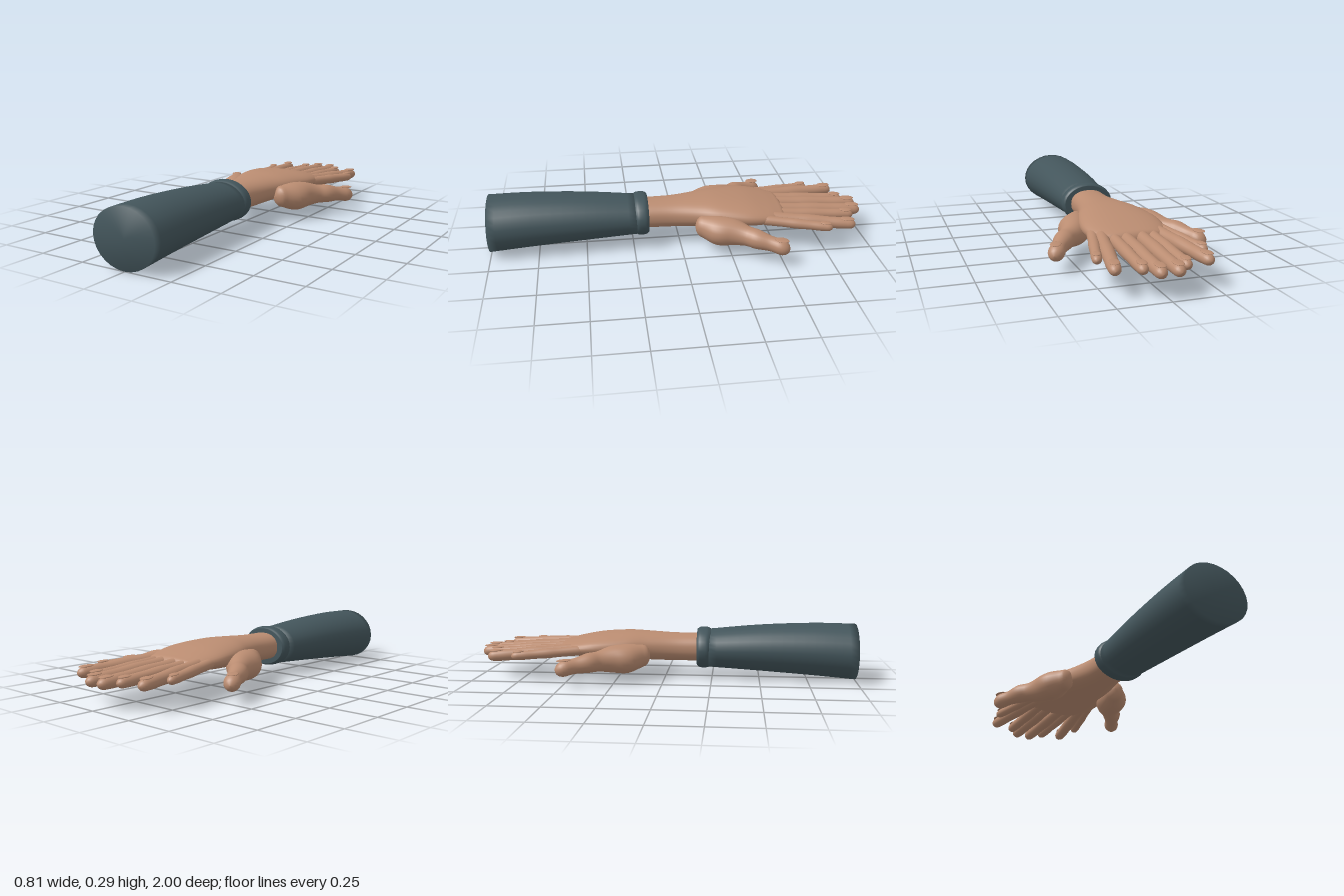
import * as THREE from 'three';

const skin = new THREE.MeshStandardMaterial({ color: 0xba8c71 });
skin.name = 'skin';
const cloth = new THREE.MeshStandardMaterial({ color: 0x43555b });
cloth.name = 'sleeve cloth';

// Smooth loft through sections [x, y, z, halfWidth, halfHeight]; ends close with domes of the given lengths
function loft(sections, { startDome = 0, endDome = 0, sides = 28, steps = 5, power = 2 } = {}) {
  const path = new THREE.CatmullRomCurve3(sections.map(s => new THREE.Vector3(s[0], s[1], s[2])), false, 'catmullrom');
  const size = new THREE.CatmullRomCurve3(sections.map(s => new THREE.Vector3(s[3], s[4], 0)), false, 'catmullrom');
  const up = new THREE.Vector3(0, 1, 0);
  const rows = [];
  const addRow = (t, shift, scale) => {
    const dir = path.getTangent(t);
    const side = new THREE.Vector3(dir.x, 0, dir.z).normalize().cross(up);
    const centre = path.getPoint(t).addScaledVector(dir, shift);
    rows.push({ centre, side, size: size.getPoint(t).multiplyScalar(scale) });
  };
  const dome = (t, length, sign) => {
    const n = length ? 5 : 1;
    const list = [];
    for (let k = 1; k <= n; k++) {
      const a = (k / n) * Math.PI / 2;
      list.push([t, sign * length * Math.sin(a), Math.max(Math.cos(a), 0.001)]);
    }
    return list;
  };
  dome(0, startDome, -1).reverse().forEach(r => addRow(...r));
  const n = (sections.length - 1) * steps;
  for (let i = 0; i <= n; i++) addRow(i / n, 0, 1);
  dome(1, endDome, 1).forEach(r => addRow(...r));

  const positions = [], index = [];
  const bend = v => Math.sign(v) * Math.pow(Math.abs(v), 2 / power);
  rows.forEach((row, i) => {
    for (let j = 0; j < sides; j++) {
      const a = (j / sides) * Math.PI * 2;
      const p = row.centre.clone()
        .addScaledVector(row.side, bend(Math.cos(a)) * row.size.x)
        .addScaledVector(up, bend(Math.sin(a)) * row.size.y);
      positions.push(p.x, p.y, p.z);
      if (i === rows.length - 1) continue;
      const k = (j + 1) % sides;
      const A = i * sides + j, B = i * sides + k;
      index.push(A, A + sides, B, B, A + sides, B + sides);
    }
  });
  const g = new THREE.BufferGeometry();
  g.setAttribute('position', new THREE.Float32BufferAttribute(positions, 3));
  g.setIndex(index);
  g.computeVertexNormals();
  return g;
}

export function createModel() {
  const model = new THREE.Group();
  model.name = 'mirroredHand';
  const add = (name, geometry, material) => {
    const mesh = new THREE.Mesh(geometry, material);
    mesh.name = name;
    model.add(mesh);
    return mesh;
  };

  // Sleeve with a closed end, and its rolled cuff
  add('sleeve', loft([
    [-0.003, 0.149, 1, 0.174, 0.146],
    [-0.002, 0.159, 0.78, 0.167, 0.138],
    [-0.001, 0.162, 0.5, 0.154, 0.122],
    [0, 0.157, 0.22, 0.135, 0.1],
  ]), cloth);
  add('cuff', loft([
    [0, 0.16, 0.24, 0.132, 0.1],
    [0, 0.16, 0.222, 0.143, 0.108],
    [0, 0.16, 0.188, 0.143, 0.108],
    [0, 0.16, 0.17, 0.132, 0.098],
  ]), cloth);

  // Wrist widening into the palm
  add('wristAndPalm', loft([
    [0, 0.162, 0.2, 0.098, 0.073],
    [0, 0.162, 0.05, 0.106, 0.073],
    [0, 0.167, -0.08, 0.134, 0.074],
    [0, 0.172, -0.2, 0.175, 0.072],
    [0, 0.17, -0.35, 0.204, 0.062],
    [0, 0.163, -0.46, 0.195, 0.048],
    [0, 0.158, -0.53, 0.165, 0.036],
  ], { endDome: 0.035, sides: 40, power: 2.3 }), skin);

  const addNail = (name, x, y, z, width, length, turn) => {
    const nail = add(name, new THREE.SphereGeometry(1, 20, 10), skin);
    nail.scale.set(width, 0.005, length);
    nail.position.set(x, y, z);
    nail.rotation.set(-0.05, turn, 0, 'YXZ');
  };

  // Fingers of one side: base x, base z, tip x, tip z, radius
  const fingers = [
    ['innerFinger', 0.039, -0.48, 0.042, -0.96, 0.035],
    ['secondFinger', 0.095, -0.48, 0.102, -0.905, 0.031],
    ['thirdFinger', 0.142, -0.47, 0.217, -0.878, 0.034],
    ['outerFinger', 0.175, -0.44, 0.254, -0.75, 0.027],
  ];
  const swell = [[0, 1.02], [0.3, 0.97], [0.5, 1.03], [0.72, 0.93], [0.88, 0.94], [1, 0.86]];

  for (const [sideName, s] of [['left', 1], ['right', -1]]) {
    for (const [name, x0, z0, x1, z1, r] of fingers) {
      const sections = swell.map(([t, k]) => {
        const z = z0 + (z1 - z0) * t;
        return [s * (x0 + (x1 - x0) * t), 0.157 + (z + 0.5) * 0.062, z, r * k, r * k * 0.95];
      });
      add(sideName + name, loft(sections, { startDome: r, endDome: r * 1.1, sides: 20 }), skin);
      const turn = -s * Math.atan2(x1 - x0, z0 - z1);
      addNail(sideName + name + 'Nail', s * x1, 0.157 + (z1 + 0.5) * 0.062 + r * 0.86, z1 + 0.008, r * 0.72, r * 1.12, turn);
    }

    // Thumb growing from the swollen base of the palm
    add(sideName + 'Thumb', loft([
      [0.155, 0.135, -0.11, 0.052, 0.058],
      [0.186, 0.125, -0.185, 0.083, 0.075],
      [0.216, 0.125, -0.26, 0.073, 0.069],
      [0.262, 0.121, -0.325, 0.05, 0.052],
      [0.3, 0.119, -0.372, 0.05, 0.05],
      [0.334, 0.11, -0.43, 0.038, 0.04],
      [0.362, 0.102, -0.478, 0.041, 0.041],
    ].map(([x, ...rest]) => [s * x, ...rest]), { startDome: 0.04, endDome: 0.048, sides: 24 }), skin);
    addNail(sideName + 'ThumbNail', s * 0.367, 0.143, -0.48, 0.027, 0.037, -s * 0.4);
  }
  return model;
}
